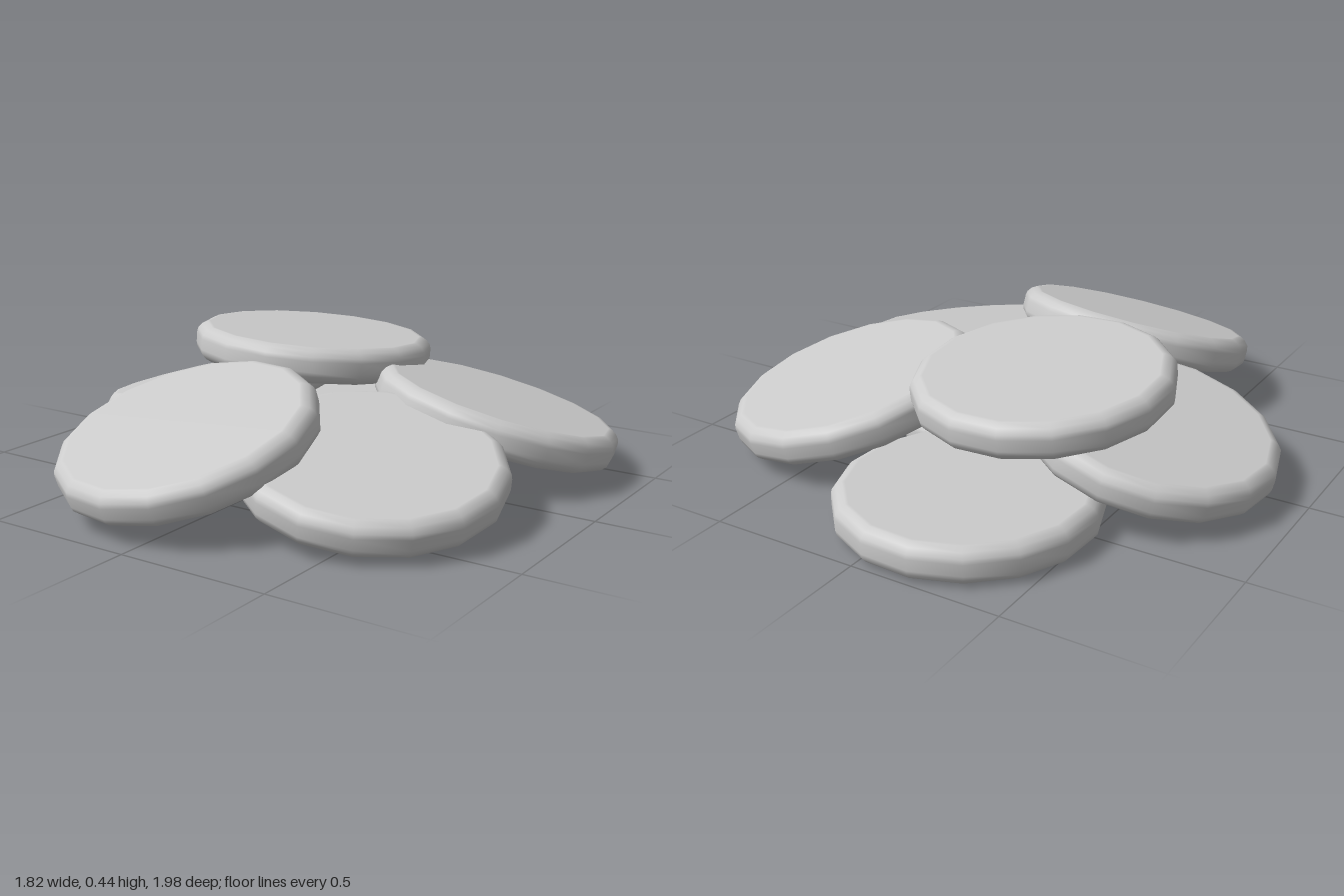
import * as THREE from 'three';

// Flat round disc with softly rounded rims and 16 sides
function discGeometry(radius, half) {
  const side = [[0, half], [radius - 0.045, half], [radius - 0.035, half], [radius - 0.016, half - 0.011], [radius - 0.003, half - 0.027], [radius, half - 0.042]];
  const bottom = side.map(([r, y]) => new THREE.Vector2(r, -y));
  const top = side.map(([r, y]) => new THREE.Vector2(r, y)).reverse();
  return new THREE.LatheGeometry([...bottom, ...top], 16);
}

export function createModel() {
  const group = new THREE.Group();
  group.name = 'discPile';
  const material = new THREE.MeshStandardMaterial({ color: 0xcccccc });
  const geometry = discGeometry(0.418, 0.06);
  const up = new THREE.Vector3(0, 1, 0);

  // Each disc: name, centre, slope of its face along x and z, turn about its axis
  const discs = [
    ['baseDisc', [0.08, 0.088, 0.03], [0, 0], 0],
    ['backDisc', [-0.13, 0.062, -0.583], [0, 0], 0.15],
    ['leaningDiscRight', [-0.5, 0.185, -0.105], [0.25, 0], 0.1],
    ['leaningDiscFrontLeft', [0.43, 0.165, 0.36], [-0.17, -0.17], 0.05],
    ['leaningDiscBackLeft', [0.497, 0.19, -0.32], [-0.22, 0.18], 0.07],
    ['frontDisc', [-0.092, 0.225, 0.583], [0.09, -0.32], 0],
    ['topDisc', [-0.204, 0.345, -0.262], [-0.04, 0.08], Math.PI / 16],
  ];
  for (const [name, centre, [sx, sz], turn] of discs) {
    const disc = new THREE.Mesh(geometry, material);
    disc.name = name;
    disc.position.set(...centre);
    disc.quaternion.setFromUnitVectors(up, new THREE.Vector3(-sx, 1, -sz).normalize());
    disc.rotateY(turn);
    group.add(disc);
  }
  return group;
}
